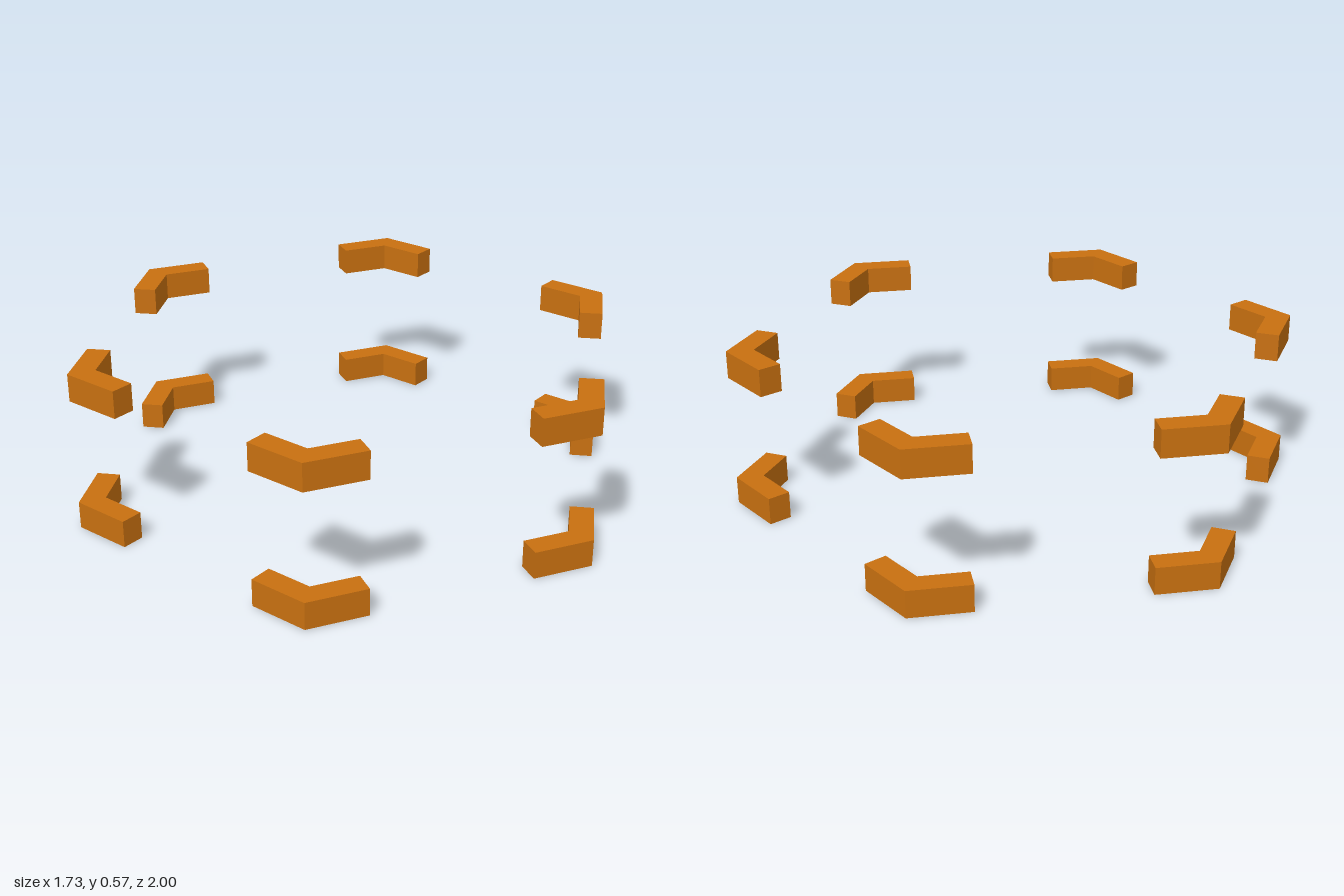
import * as THREE from 'three';

const ARM = 0.214;        // outer length of each bracket arm
const THICK = 0.081;      // wall thickness
const HEIGHT = 0.097;
const LEVELS = { lower: 0, upper: 0.477 };

// V-shaped bracket wrapping one corner of a unit hexagon
function bracketGeometry() {
  const c = Math.cos(Math.PI / 6), s = 0.5;
  const ex = ARM * c, ey = 1 - ARM * s;
  const ix = ex - THICK * s, iy = ey - THICK * c;
  const shape = new THREE.Shape([
    [0, 1], [-ex, ey], [-ix, iy], [0, 1 - THICK / c], [ix, iy], [ex, ey],
  ].map(([x, y]) => new THREE.Vector2(x, y)));
  const geo = new THREE.ExtrudeGeometry(shape, { depth: HEIGHT, bevelEnabled: false });
  return geo.rotateX(Math.PI / 2).translate(0, HEIGHT, 0);
}

export function createModel() {
  const model = new THREE.Group();
  model.name = 'hexagonCornerBrackets';
  const material = new THREE.MeshStandardMaterial({ color: 0xc87010 });
  const geometry = bracketGeometry();

  // Two rings of six brackets
  for (const [level, y] of Object.entries(LEVELS)) {
    const ring = new THREE.Group();
    ring.name = `${level}Ring`;
    ring.position.y = y;
    for (let i = 0; i < 6; i++) {
      const bracket = new THREE.Mesh(geometry, material);
      bracket.name = `${level}CornerBracket${i + 1}`;
      bracket.rotation.y = i * Math.PI / 3;
      ring.add(bracket);
    }
    model.add(ring);
  }
  return model;
}
